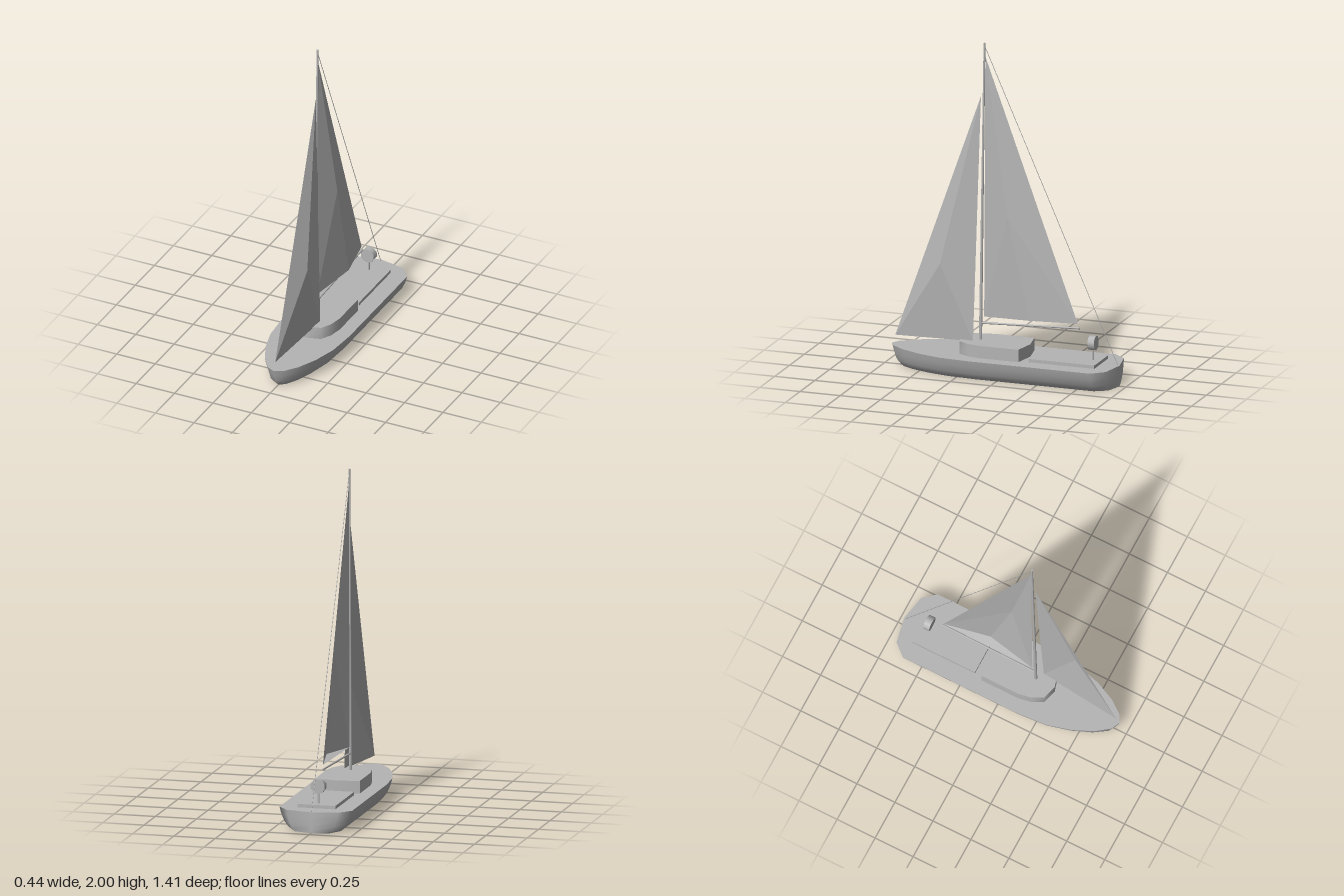
import * as THREE from 'three';

const grey = new THREE.MeshStandardMaterial({ color: 0xb4b4b4, side: THREE.DoubleSide });
grey.name = 'plain grey';

const DECK = 0.125;

function part(name, geometry) {
  const mesh = new THREE.Mesh(geometry, grey);
  mesh.name = name;
  return mesh;
}

// Half outline [x, z] from bow to stern -> open outline running round both sides
function bothSides(half) {
  const back = half.slice(0, -1).reverse().map(([x, z]) => [-x, z]);
  return [...half, ...back];
}

// Flat horizontal plate from an outline, facing up
function plate(outline, y) {
  const shape = new THREE.Shape(outline.map(([x, z]) => new THREE.Vector2(x, -z)));
  return new THREE.ShapeGeometry(shape).rotateX(-Math.PI / 2).translate(0, y, 0);
}

// Smooth wall through stacked rings of 3D points, open at the ends of each ring
function wall(rings) {
  const n = rings[0].length, index = [];
  for (let r = 0; r < rings.length - 1; r++) {
    for (let i = 0; i < n - 1; i++) {
      const a = r * n + i, b = a + 1, c = a + n, d = c + 1;
      index.push(a, c, b, b, c, d);
    }
  }
  const g = new THREE.BufferGeometry();
  g.setAttribute('position', new THREE.Float32BufferAttribute(rings.flat(2), 3));
  g.setIndex(index);
  g.computeVertexNormals();
  return g;
}

// Round bar between two points
function bar(name, from, to, r0, r1 = r0, sides = 8) {
  const a = new THREE.Vector3(...from), b = new THREE.Vector3(...to);
  const dir = b.clone().sub(a);
  const mesh = part(name, new THREE.CylinderGeometry(r1, r0, dir.length(), sides));
  mesh.position.copy(a).add(b).multiplyScalar(0.5);
  mesh.quaternion.setFromUnitVectors(new THREE.Vector3(0, 1, 0), dir.normalize());
  return mesh;
}

// Faceted cloth from triangles of named corners
function sail(name, corners, triangles) {
  const g = new THREE.BufferGeometry();
  const pos = triangles.flatMap(t => [...t].flatMap(k => corners[k]));
  g.setAttribute('position', new THREE.Float32BufferAttribute(pos, 3));
  g.computeVertexNormals();
  return part(name, g);
}

export function createModel() {
  const boat = new THREE.Group();
  boat.name = 'sailboat';

  // Hull: flared sides, open underneath, raked bow and upright stern
  const hullLine = bothSides([[0, 0.705], [0.05, 0.68], [0.11, 0.6], [0.165, 0.48],
    [0.205, 0.335], [0.22, 0.15], [0.22, -0.605], [0.155, -0.68], [0, -0.71]]);
  const levels = [[DECK, 1, 1], [0.085, 0.95, 0.985], [0.04, 0.86, 0.965], [0.015, 0.77, 0.935], [0, 0.69, 0.91]];
  const rings = levels.map(([y, sx, sz]) =>
    hullLine.map(([x, z]) => [x * sx, y, z > 0 ? z * sz : z]));
  boat.add(part('hull', wall(rings)));
  boat.add(part('deck', plate(hullLine, DECK)));

  // Cabin: rounded front, shallow pointed back with sharp corners
  const cabinTop = 0.2;
  const lift = line => wall([cabinTop, DECK].map(y => line.map(([x, z]) => [x, y, z])));
  const side = [[0, 0.28], [0.085, 0.255], [0.12, 0.19], [0.135, 0.11], [0.135, -0.13]];
  const front = [...side.slice(1).reverse().map(([x, z]) => [-x, z]), ...side];
  const rear = [[0.135, -0.13], [0, -0.155], [-0.135, -0.13]];
  boat.add(part('cabinSides', lift(front)));
  boat.add(part('cabinBack', lift(rear)));
  boat.add(part('cabinRoof', plate([...front, [0, -0.155]], cabinTop)));

  // Cockpit platform
  const platform = part('cockpitPlatform', new THREE.BoxGeometry(0.23, 0.02, 0.41));
  platform.position.set(0, DECK + 0.01, -0.39);
  boat.add(platform);

  // Steering wheel on its post
  boat.add(bar('wheelPost', [0, 0.14, -0.545], [0, 0.22, -0.545], 0.006));
  boat.add(bar('steeringWheel', [0, 0.248, -0.565], [0, 0.248, -0.525], 0.044, 0.044, 10));

  // Mast, boom and backstay
  boat.add(bar('mast', [0, 0.19, 0.155], [0, 2, 0.13], 0.01, 0.006));
  boat.add(bar('boom', [0, 0.3, 0.147], [0, 0.327, -0.462], 0.006));
  boat.add(bar('backstay', [0, 1.985, 0.13], [0, DECK, -0.7], 0.002, 0.002, 5));

  // Mainsail: head, tack, clew, belly, foot; with a shelf along the foot
  boat.add(sail('mainsail', {
    h: [0, 1.92, 0.125], t: [0, 0.34, 0.132], c: [0, 0.353, -0.45],
    b: [0.05, 0.97, -0.03], f: [0.055, 0.358, -0.17],
  }, ['htb', 'hbc', 'btf', 'bfc', 'tcf']));

  // Jib: head, tack, clew, belly
  boat.add(sail('jib', {
    h: [0, 1.675, 0.152], t: [0, 0.175, 0.685], c: [0.045, 0.197, 0.185],
    b: [0.06, 0.65, 0.385],
  }, ['htb', 'hbc', 'btc']));

  return boat;
}
